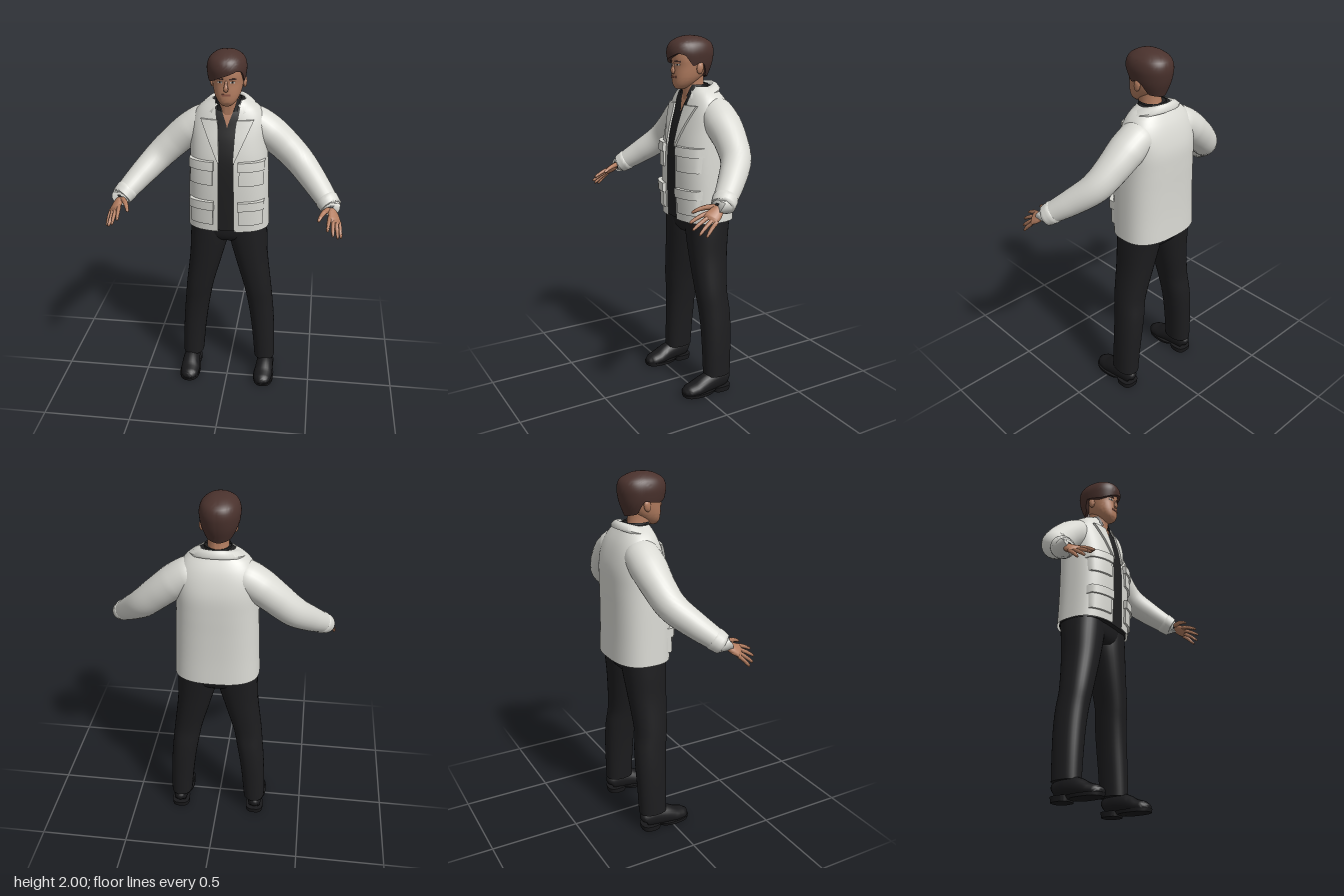
import * as THREE from 'three';
import { toCreasedNormals } from 'three/addons/utils/BufferGeometryUtils.js';

const mat = (name, color, side = THREE.FrontSide) => {
  const m = new THREE.MeshStandardMaterial({ color, side });
  m.name = name;
  return m;
};
const lerp = THREE.MathUtils.lerp;

// Piecewise linear lookup in [[key, value], ...]
const line = (pts, k) => {
  let i = 0;
  while (i < pts.length - 2 && k > pts[i + 1][0]) i++;
  const [a, b] = [pts[i], pts[i + 1]];
  return lerp(a[1], b[1], THREE.MathUtils.clamp((k - a[0]) / (b[0] - a[0]), 0, 1));
};

// Smooth lookup in section rows [y, front z, back z, min x, max x]
function sample(rows, y) {
  const last = rows.length - 1;
  let i = 0;
  while (i < last - 1 && y > rows[i + 1][0]) i++;
  const a = rows[i], b = rows[i + 1], h = b[0] - a[0];
  const t = THREE.MathUtils.clamp((y - a[0]) / h, 0, 1);
  const slope = (j, k) => {
    const p = rows[Math.max(j - 1, 0)], q = rows[Math.min(j + 1, last)];
    return (q[k] - p[k]) / (q[0] - p[0]) * h;
  };
  return [1, 2, 3, 4].map(k => (2 * t ** 3 - 3 * t * t + 1) * a[k] + (t ** 3 - 2 * t * t + t) * slope(i, k)
    + (3 * t * t - 2 * t ** 3) * b[k] + (t ** 3 - t * t) * slope(i + 1, k));
}

// Point on a superellipse section; angle 0 faces +z
function point(rows, y, t, n = 2, inset = 0, scale = 1) {
  const [f, b, x0, x1] = sample(rows, y);
  const rx = Math.max((x1 - x0) / 2 - inset, 0.002) * scale, rz = Math.max((f - b) / 2 - inset, 0.002) * scale;
  const pw = v => Math.sign(v) * Math.abs(v) ** (2 / n);
  return [(x0 + x1) / 2 + rx * pw(Math.sin(t)), y, (f + b) / 2 + rz * pw(Math.cos(t))];
}

const finish = geo => toCreasedNormals(geo, 1.0);

// Surface through a grid of points fn(u index, v index)
function grid(nu, nv, fn) {
  const pos = [], idx = [];
  for (let j = 0; j <= nv; j++) for (let i = 0; i <= nu; i++) pos.push(...fn(i, j));
  for (let j = 0; j < nv; j++) for (let i = 0; i < nu; i++) {
    const a = j * (nu + 1) + i, c = a + nu + 1;
    idx.push(a, a + 1, c + 1, a, c + 1, c);
  }
  const g = new THREE.BufferGeometry();
  g.setAttribute('position', new THREE.Float32BufferAttribute(pos, 3));
  g.setIndex(idx);
  return finish(g);
}

// Upright loft, optionally open at the front by a half width gap(y)
function loft(rows, { n = 2, inset = 0, gap = null, caps = true, nu = 40, nv = 24, y0 = rows[0][0], y1 = rows[rows.length - 1][0] } = {}) {
  const rings = [];
  for (let j = 0; j <= nv; j++) rings.push([lerp(y0, y1, j / nv), 1]);
  if (caps) { rings.unshift([y0, 0]); rings.push([y1, 0]); }
  return grid(nu, rings.length - 1, (i, j) => {
    const [y, s] = rings[j], [, , x0, x1] = sample(rows, y);
    const a = gap ? Math.asin(Math.min(1, gap(y) / ((x1 - x0) / 2 - inset)) ** (n / 2)) : 0;
    return point(rows, y, lerp(a, 2 * Math.PI - a, i / nu), n, inset, s);
  });
}

// Loft along a path of [x, y, z, half width, half height]
function limb(pts, { ref = new THREE.Vector3(0, 1, 0), nu = 16, nv = 20 } = {}) {
  const curve = new THREE.CatmullRomCurve3(pts.map(p => new THREE.Vector3(p[0], p[1], p[2])));
  return grid(nu, nv, (i, j) => {
    const v = j / nv, t = 2 * Math.PI * i / nu, k = v * (pts.length - 1);
    const T = curve.getTangent(v), A = ref.clone().cross(T).normalize(), B = T.clone().cross(A);
    const r = q => line(pts.map((p, m) => [m, p[q]]), k);
    return curve.getPoint(v).addScaledVector(A, r(3) * Math.cos(t)).addScaledVector(B, r(4) * Math.sin(t)).toArray();
  });
}

// Bend a flat plate (x, y, thickness z) onto the front of a loft
function wrap(rows, n, geo) {
  const p = geo.attributes.position;
  for (let i = 0; i < p.count; i++) {
    const x = p.getX(i), y = p.getY(i), z = p.getZ(i), [, , x0, x1] = sample(rows, y);
    const t = Math.asin(Math.min(1, Math.abs(x) / ((x1 - x0) / 2 + z)) ** (n / 2)) * Math.sign(x);
    p.setXYZ(i, ...point(rows, y, t, n, -z));
  }
  return finish(geo);
}
const plate = (x0, x1, y0, y1, z0, z1) => new THREE.BoxGeometry(x1 - x0, y1 - y0, z1 - z0, 8, 4, 1)
  .translate((x0 + x1) / 2, (y0 + y1) / 2, (z0 + z1) / 2);

function mirror(geo) {
  const g = geo.clone().applyMatrix4(new THREE.Matrix4().makeScale(-1, 1, 1));
  for (const key of ['position', 'normal']) {
    const a = g.attributes[key].array;
    for (let i = 0; i < a.length; i += 9) for (let k = 0; k < 3; k++) [a[i + k], a[i + 6 + k]] = [a[i + 6 + k], a[i + k]];
  }
  return g;
}

const sym = (y, f, b, r) => [y, f, b, -r, r];
const TORSO = [sym(1.01, .055, -.272, .23), sym(1.15, .06, -.268, .225), sym(1.3, .062, -.268, .22), sym(1.42, .056, -.27, .215),
  sym(1.52, .036, -.268, .212), sym(1.6, .012, -.25, .207), sym(1.66, -.006, -.226, .182), sym(1.7, -.022, -.2, .148), sym(1.735, -.035, -.175, .09)];
const HEAD = [sym(1.722, .028, -.02, .024), sym(1.74, .04, -.06, .046), sym(1.77, .044, -.1, .065), sym(1.8, .044, -.13, .075),
  sym(1.84, .042, -.15, .082), sym(1.88, .046, -.165, .086), sym(1.92, .04, -.168, .085), sym(1.96, .015, -.15, .068), sym(1.98, -.02, -.1, .03)];
const HAIR = [sym(1.765, 0, -.152, .058), sym(1.8, .03, -.165, .077), sym(1.84, .055, -.18, .094), sym(1.88, .066, -.189, .102),
  sym(1.92, .07, -.192, .104), sym(1.96, .054, -.178, .09), sym(1.985, .016, -.138, .06), sym(1.996, -.02, -.1, .033), sym(2, -.058, -.062, .002)];
const HAIRLINE = [[-180, 1.775], [-120, 1.79], [-103, 1.86], [-80, 1.85], [-60, 1.845], [-40, 1.855], [0, 1.885], [35, 1.91],
  [55, 1.9], [75, 1.84], [90, 1.86], [105, 1.85], [120, 1.79], [180, 1.775]];
const LEG = [[.105, -.03, -.19, .16, .283], [.25, -.028, -.195, .147, .28], [.39, -.025, -.2, .13, .272], [.5, -.018, -.198, .112, .262],
  [.6, -.006, -.188, .092, .252], [.8, .008, -.205, .036, .228], [.94, .014, -.222, 0, .221], [1.03, .015, -.235, 0, .215]];

export function createModel() {
  const model = new THREE.Group();
  model.name = 'standingMan';
  const jacket = mat('jacketWhite', 0xd9d9d3, THREE.DoubleSide), shirt = mat('shirtBlack', 0x202021, THREE.DoubleSide);
  const trousers = mat('trouserBlack', 0x1d1d1f), leather = mat('shoeBlack', 0x19191b), skin = mat('skin', 0xb37d60);
  const hair = mat('hairBrown', 0x4a322d, THREE.DoubleSide), lip = mat('lips', 0x8d5646), eyeWhite = mat('eyeWhite', 0xcfc8c0);
  const add = (name, geo, material) => {
    const m = new THREE.Mesh(geo, material);
    m.name = name;
    model.add(m);
  };
  const pair = (name, geo, material) => {
    add(name + 'Left', geo, material);
    add(name + 'Right', mirror(geo), material);
  };

  // Jacket body, open down the front
  const opening = y => line([[1, .045], [1.4, .04], [1.6, .05], [1.7, .064], [1.74, .07]], y);
  add('jacketBody', loft(TORSO, { n: 2.6, gap: opening, caps: false, nu: 56, nv: 32 }), jacket);

  // Folded collar, sloping from the nape to the chest
  const collarRings = [[.072, .07, 1.69], [.08, .08, 1.728], [.09, .088, 1.732], [.115, .1, 1.722], [.142, .112, 1.7], [.14, .11, 1.688]];
  add('jacketCollar', grid(40, collarRings.length - 1, (i, j) => {
    const [rx, rz, y] = collarRings[collarRings.length - 1 - j], t = lerp(.62, 2 * Math.PI - .62, i / 40);
    const dz = rz * Math.cos(t);
    return [rx * Math.sin(t), y - .27 * dz, -.105 + dz];
  }), jacket);

  // Lapels
  const lapel = new THREE.BoxGeometry(1, 1, .012, 8, 14, 1);
  const lp = lapel.attributes.position;
  for (let i = 0; i < lp.count; i++) {
    const v = lp.getY(i) + .5, y = lerp(1.42, 1.64, v);
    lp.setXYZ(i, lerp(opening(y) - .004, lerp(.044, .142, v), lp.getX(i) + .5), y, lp.getZ(i) + .007);
  }
  pair('lapel', wrap(TORSO, 2.6, lapel), jacket);

  // Patch pockets with flaps
  for (const [name, low, high] of [['chestPocket', 1.29, 1.41], ['hipPocket', 1.055, 1.18]]) {
    pair(name, wrap(TORSO, 2.6, plate(.072, .2, low, high, -.004, .012)), jacket);
    pair(name + 'Flap', wrap(TORSO, 2.6, plate(.066, .206, high - .035, high + .015, -.004, .022)), jacket);
  }

  // Sleeves and cuffs
  pair('sleeve', limb([[.07, 1.605, -.13, .07, .07], [.14, 1.592, -.132, .098, .092], [.22, 1.543, -.13, .1, .092], [.31, 1.468, -.122, .088, .086],
    [.395, 1.388, -.095, .08, .08], [.48, 1.305, -.012, .07, .069], [.535, 1.25, .054, .062, .059], [.57, 1.215, .097, .056, .05],
    [.568, 1.217, .094, .03, .03]], { nu: 28, nv: 48 }), jacket);
  pair('cuffBand', limb([[.538, 1.247, .058, .058, .056], [.545, 1.24, .066, .065, .061], [.57, 1.215, .096, .061, .054],
    [.573, 1.212, .1, .048, .042]], { nu: 24, nv: 9 }), jacket);
  pair('shirtCuff', limb([[.55, 1.235, .072, .04, .036], [.574, 1.211, .102, .043, .037], [.58, 1.205, .108, .038, .032],
    [.579, 1.206, .107, .01, .01]], { nu: 20, nv: 9 }), shirt);

  // Shirt with an open neck, and the chest inside it
  add('shirt', loft(TORSO, { n: 2.6, inset: .011, gap: y => line([[1.6, 0], [1.735, .05]], y), y0: 1.012, nv: 36 }), shirt);
  add('chest', loft(TORSO, { n: 2.6, inset: .017, y0: 1.5, y1: 1.728, nv: 14 }), skin);
  add('shirtCollar', loft([sym(1.68, -.008, -.172, .082), sym(1.745, -.018, -.16, .068)],
    { gap: y => line([[1.68, .032], [1.745, .05]], y), caps: false, nv: 4 }), shirt);

  // Neck and head
  add('neck', loft([sym(1.66, -.022, -.15, .062), sym(1.72, -.016, -.14, .056), sym(1.76, -.002, -.135, .055), sym(1.83, .0, -.135, .056)], { nv: 8 }), skin);
  add('head', loft(HEAD, { n: 2.25, nv: 32 }), skin);
  add('nose', limb([[0, 1.864, .034, .006, .006], [0, 1.84, .045, .008, .008], [0, 1.82, .05, .013, .012], [0, 1.809, .047, .012, .009],
    [0, 1.805, .04, .004, .004]], { ref: new THREE.Vector3(0, 0, 1), nv: 14 }), skin);
  pair('ear', finish(new THREE.SphereGeometry(1, 14, 10).scale(.012, .032, .02).rotateX(-.2).translate(.086, 1.833, -.068)), skin);
  pair('eye', wrap(HEAD, 2.25, plate(.02, .045, 1.846, 1.854, -.002, .002)), eyeWhite);
  pair('iris', wrap(HEAD, 2.25, plate(.028, .037, 1.846, 1.855, -.002, .003)), shirt);
  pair('eyebrow', wrap(HEAD, 2.25, plate(.016, .052, 1.864, 1.871, -.002, .004)), hair);
  add('mouth', wrap(HEAD, 2.25, plate(-.024, .024, 1.78, 1.79, -.003, .004)), lip);

  // Hair with a swept fringe
  add('hair', grid(64, 21, (i, j) => {
    const t = lerp(-Math.PI, Math.PI, i / 64), low = line(HAIRLINE, t * 180 / Math.PI);
    const v = j === 0 ? 0 : (j - 1) / 20;
    const y = low + (2 - low) * Math.sin(v * Math.PI / 2);
    const p = point(HAIR, y, t, 2.15, 0, j === 0 ? .8 : 1);
    return [p[0] - .007, p[1], p[2]];
  }), hair);

  // Hands
  const across = new THREE.Vector3(.787, -.524, -.328);
  const palmNormal = new THREE.Vector3(.22, -.48, .85).cross(across).normalize();
  pair('palm', limb([[.55, 1.233, .08, .026, .022], [.572, 1.207, .122, .028, .02], [.584, 1.187, .15, .037, .019],
    [.592, 1.172, .178, .042, .015], [.597, 1.164, .192, .03, .003]], { ref: palmNormal }), skin);
  const fingers = [['index', -.033, .555, 1.15, .277], ['middle', -.011, .585, 1.122, .278], ['ring', .011, .611, 1.1, .255], ['little', .033, .629, 1.09, .225]];
  for (const [name, off, x, y, z] of fingers) {
    const base = new THREE.Vector3(.59, 1.174, .17).addScaledVector(across, off), tip = new THREE.Vector3(x, y, z);
    const at = (k, r) => {
      const p = base.clone().lerp(tip, k);
      return [p.x, p.y + .02 * k * (1 - k), p.z, r, r];
    };
    pair(name + 'Finger', limb([at(0, .011), at(.4, .0105), at(.75, .009), at(.95, .0065), at(1, .001)], { nu: 10, nv: 12 }), skin);
  }
  pair('thumb', limb([[.562, 1.213, .125, .015, .015], [.535, 1.211, .165, .014, .013], [.517, 1.2, .205, .011, .01],
    [.507, 1.187, .23, .008, .007], [.505, 1.184, .236, .001, .001]], { nu: 10, nv: 12 }), skin);

  // Trousers
  pair('trouserLeg', loft(LEG, { n: 2.3, nv: 32, nu: 32 }), trousers);
  add('trouserSeat', loft([sym(.925, -.01, -.19, .08), sym(.95, .006, -.215, .19), sym(1.0, .016, -.235, .216), sym(1.08, .016, -.238, .212)],
    { n: 2.5, nv: 10 }), trousers);

  // Shoes: upper flattened onto a sole and heel
  const upper = limb([[.228, .05, -.18, .004, .004], [.228, .06, -.168, .034, .045], [.228, .07, -.1, .046, .062], [.228, .06, -.03, .052, .055],
    [.225, .042, .03, .057, .042], [.222, .032, .08, .049, .036], [.22, .028, .106, .028, .022], [.22, .025, .114, .002, .002]], { nu: 24, nv: 28 });
  const up = upper.attributes.position;
  for (let i = 0; i < up.count; i++) up.setY(i, Math.max(up.getY(i), .016));
  pair('shoeUpper', finish(upper), leather);
  pair('sole', loft([[.008, .112, -.08, .167, .286], [.026, .117, -.1, .165, .288]], { n: 2.4, nv: 2 }), leather);
  pair('heel', loft([[0, -.075, -.182, .178, .278], [.03, -.07, -.186, .176, .28]], { n: 2.8, nv: 2 }), leather);
  return model;
}
